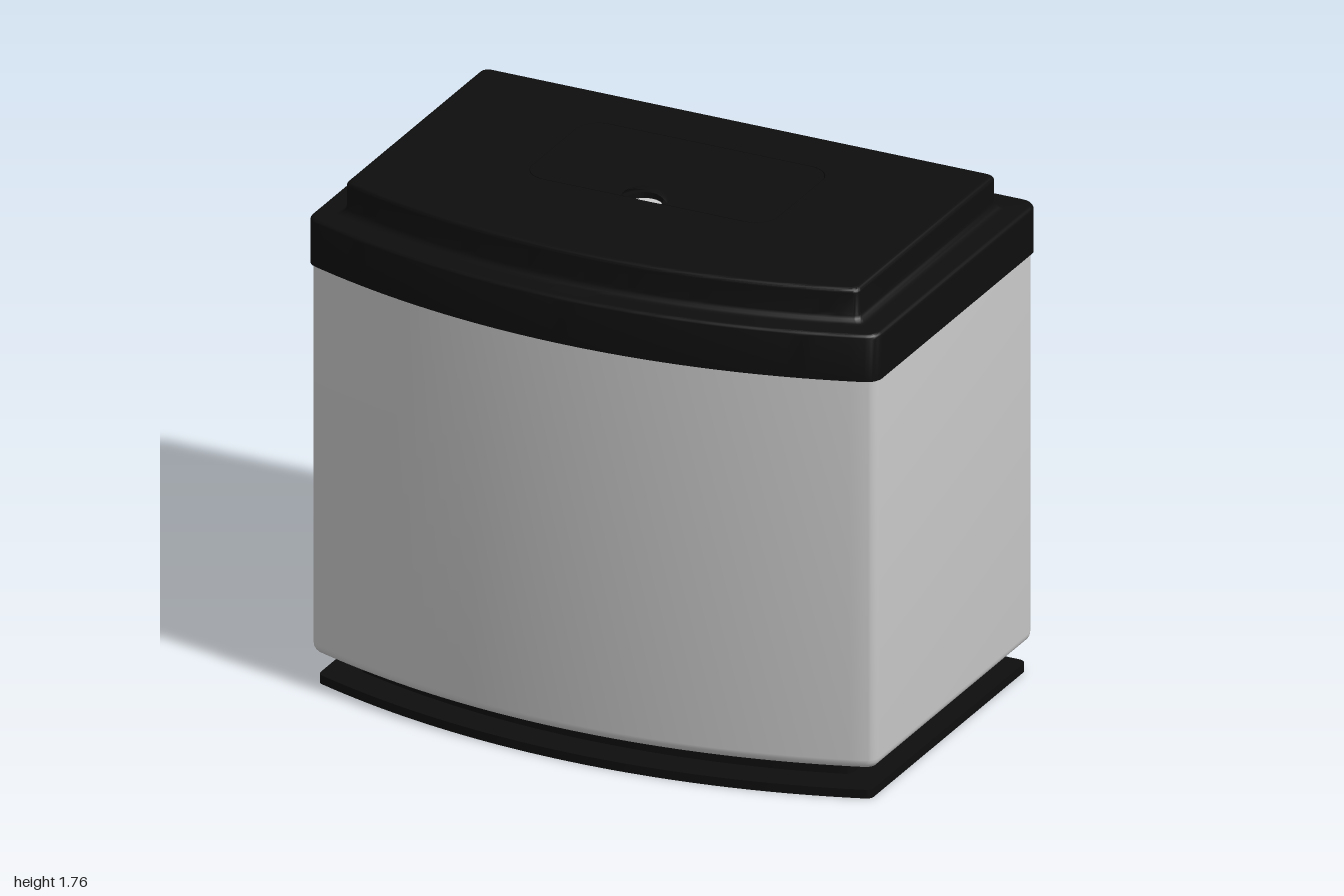
import * as THREE from 'three';
import { toCreasedNormals } from 'three/addons/utils/BufferGeometryUtils.js';

const black = new THREE.MeshStandardMaterial({ color: 0x0e0e0e });
const blackThin = new THREE.MeshStandardMaterial({ color: 0x0e0e0e, side: THREE.DoubleSide });
const grey = new THREE.MeshStandardMaterial({ color: 0xcccccc });

const BACK = 0.66, FRONT_R = 2.8, FRONT_CZ = -2.14;

// Bow-fronted outline with rounded corners, inset by d; [x, z] counterclockwise from above
function outline(d) {
  const r = Math.max(0.055 - d, 0.025), R = FRONT_R - d;
  const cx = 1 - d - r, t = Math.asin(cx / (R - r));
  const cz = FRONT_CZ + (R - r) * Math.cos(t), bz = -BACK + d + r;
  const pts = [];
  const arc = (x, z, rad, a0, a1, n, from = 0, to = n) => {
    for (let k = from; k <= to; k++) {
      const a = a0 + ((a1 - a0) * k) / n;
      pts.push([x + rad * Math.sin(a), z + rad * Math.cos(a)]);
    }
  };
  const h = Math.PI / 2;
  arc(0, FRONT_CZ, R, -t, t, 40);
  arc(cx, cz, r, t, h, 6, 1);
  arc(cx, bz, r, h, 2 * h, 6);
  arc(-cx, bz, r, 2 * h, 3 * h, 6);
  arc(-cx, cz, r, 3 * h, 4 * h - t, 6, 0, 5);
  return pts;
}

// Stacks outlines along a profile of [inset, y], bottom to top
function loft(profile, capTop = true) {
  const pos = [], idx = [];
  let n = 0;
  for (const [d, y] of profile) {
    const ring = outline(d);
    n = ring.length;
    ring.forEach(([x, z]) => pos.push(x, y, z));
  }
  const last = (profile.length - 1) * n, c = pos.length / 3;
  pos.push(0, profile[0][1], 0, 0, profile[profile.length - 1][1], 0);
  for (let j = 0; j < n; j++) {
    const k = (j + 1) % n;
    for (let i = 0; i < last; i += n) idx.push(i + j, i + k, i + n + k, i + j, i + n + k, i + n + j);
    idx.push(c, k, j);
    if (capTop) idx.push(c + 1, last + j, last + k);
  }
  const g = new THREE.BufferGeometry();
  g.setAttribute('position', new THREE.Float32BufferAttribute(pos, 3));
  g.setIndex(idx);
  return toCreasedNormals(g, 0.6);
}

// Quarter-round profile points about a centre, in [inset, y]
function quarter(d, y, r, a0, a1) {
  return Array.from({ length: 6 }, (_, k) => {
    const a = a0 + ((a1 - a0) * k) / 5;
    return [d + r * Math.cos(a), y + r * Math.sin(a)];
  });
}

// Rounded rectangle in plan, with an optional half-round notch in its front edge
function roundedRect(path, w, z0, z1, r, notch = 0) {
  const b = -z1, t = -z0, h = Math.PI / 2;
  path.moveTo(-w + r, b);
  if (notch) path.lineTo(-notch, b).absarc(0, b, notch, Math.PI, 0, true);
  path.lineTo(w - r, b).absarc(w - r, b + r, r, -h, 0, false);
  path.lineTo(w, t - r).absarc(w - r, t - r, r, 0, h, false);
  path.lineTo(-w + r, t).absarc(-w + r, t - r, r, h, 2 * h, false);
  path.lineTo(-w, b + r).absarc(-w + r, b + r, r, 2 * h, 3 * h, false);
  return path;
}

function slab(shape, depth, y) {
  const g = new THREE.ExtrudeGeometry(shape, { depth, bevelEnabled: false, curveSegments: 10 });
  return g.rotateX(-Math.PI / 2).translate(0, y, 0);
}

export function createModel() {
  const model = new THREE.Group();
  const add = (name, geometry, material) => {
    const m = new THREE.Mesh(geometry, material);
    m.name = name;
    model.add(m);
  };
  const PI = Math.PI;

  // Foot plate and recessed plinth
  add('footPlate', loft([[0.03, 0], [0.03, 0.03]]), black);
  add('plinth', loft([[0.14, 0.03], [0.14, 0.11]]), black);

  // Bin body with a rounded lower edge
  add('body', loft([...quarter(0.045, 0.14, 0.035, 1.5 * PI, PI), [0.01, 1.455]]), grey);

  // Lid: rim, concave step and raised top
  add('lid', loft([
    [0, 1.45],
    ...quarter(0.015, 1.595, 0.015, PI, PI / 2),
    ...quarter(0.07, 1.64, 0.03, -PI / 2, 0),
    ...quarter(0.115, 1.708, 0.015, PI, PI / 2),
  ], false), black);

  // Lid top with an opening for the hatch
  const top = new THREE.Shape(outline(0.115).map(([x, z]) => new THREE.Vector2(x, -z)));
  top.holes.push(roundedRect(new THREE.Path(), 0.433, -0.353, 0.113, 0.08));
  add('lidTop', slab(top, 0.02, 1.703), black);

  // Hatch with a finger notch under a small hood
  const hatch = roundedRect(new THREE.Shape(), 0.43, -0.35, 0.11, 0.078, 0.06);
  add('hatch', slab(hatch, 0.02, 1.703), black);
  const hood = new THREE.SphereGeometry(1, 24, 10, PI, PI, 0, PI / 2);
  hood.scale(0.08, 0.037, 0.075).translate(0, 1.722, 0.11);
  add('hatchHood', hood, blackThin);

  return model;
}
